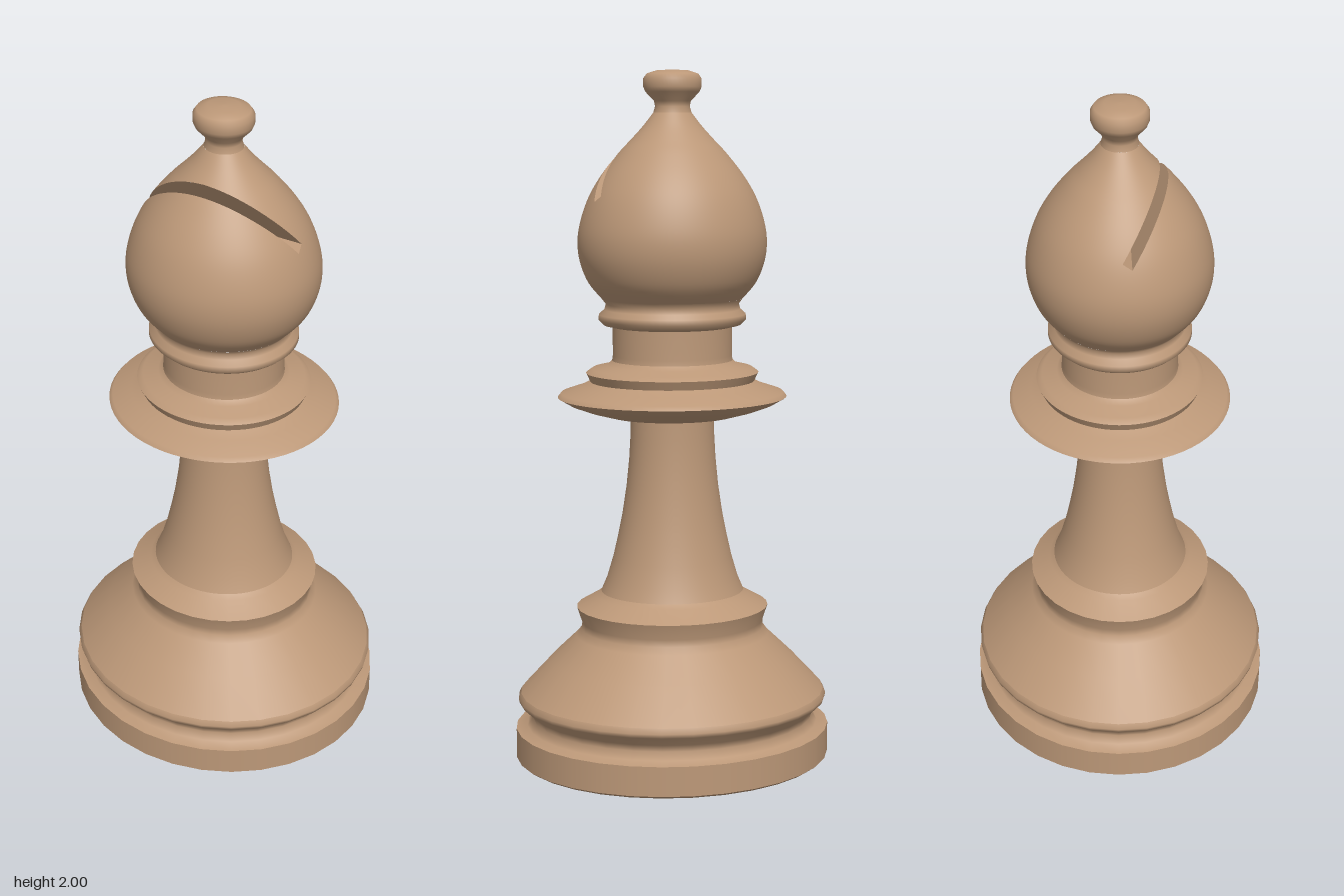
import * as THREE from 'three';

const DEPTH = 0.945; // the turned shape is slightly flattened front to back
const wood = new THREE.MeshStandardMaterial({ color: 0xbc9878 });
wood.name = 'wood';

// A repeated point in a profile makes a hard edge.
const toPoints = (list) => list.map(([r, y]) => new THREE.Vector2(r, y));

function addPart(group, name, geometry) {
  geometry.scale(1, 1, DEPTH);
  const mesh = new THREE.Mesh(geometry, wood);
  mesh.name = name;
  group.add(mesh);
  return mesh;
}

// Head profile radius at a given height
function radiusAt(profile, y) {
  for (let i = 1; i < profile.length; i++) {
    const a = profile[i - 1], b = profile[i];
    if (y >= a.y && y <= b.y) return a.x + (b.x - a.x) * (y - a.y) / (b.y - a.y || 1);
  }
  return 0;
}

// Cuts a slot, whose outline is an open path in (z, y), across a turned solid
function cutSlot(solid, profile, path) {
  const src = solid.toNonIndexed();
  const P = src.attributes.position, N = src.attributes.normal;
  const pos = [], nor = [];
  const emit = (poly) => {
    for (let i = 1; i + 1 < poly.length; i++) {
      for (const v of [poly[0], poly[i], poly[i + 1]]) {
        pos.push(...v.slice(0, 3));
        nor.push(...v.slice(3));
      }
    }
  };
  const edges = path.slice(1).map((q, i) => [path[i], q]);
  const side = ([p, q], v) => (q[0] - p[0]) * (v[1] - p[1]) - (q[1] - p[1]) * (v[2] - p[0]);

  // Outer skin: keep every piece that lies outside the slot
  for (let t = 0; t < P.count; t += 3) {
    let poly = [t, t + 1, t + 2].map((i) =>
      [P.getX(i), P.getY(i), P.getZ(i), N.getX(i), N.getY(i), N.getZ(i)]);
    for (const edge of edges) {
      const inside = [], outside = [];
      poly.forEach((v, i) => {
        const w = poly[(i + 1) % poly.length];
        const dv = side(edge, v), dw = side(edge, w);
        (dv > 0 ? inside : outside).push(v);
        if ((dv > 0) !== (dw > 0)) {
          const cut = v.map((c, k) => c + (w[k] - c) * dv / (dv - dw));
          inside.push(cut);
          outside.push(cut);
        }
      });
      emit(outside);
      poly = inside;
    }
  }

  // Slot walls: flat strips as wide as the solid at each point
  const steps = 80;
  for (const [p, q] of edges) {
    const dz = q[0] - p[0], dy = q[1] - p[1], len = Math.hypot(dz, dy);
    const at = (s) => {
      const z = p[0] + dz * s, y = p[1] + dy * s;
      return [Math.sqrt(Math.max(0, radiusAt(profile, y) ** 2 - z * z)), y, z];
    };
    for (let i = 0; i < steps; i++) {
      const a = at(i / steps), b = at((i + 1) / steps);
      if (a[0] + b[0] === 0) continue;
      const n = [0, dz / len, -dy / len];
      emit([[...a, ...n], [-a[0], a[1], a[2], ...n], [-b[0], b[1], b[2], ...n], [...b, ...n]]);
    }
  }

  const out = new THREE.BufferGeometry();
  out.setAttribute('position', new THREE.Float32BufferAttribute(pos, 3));
  out.setAttribute('normal', new THREE.Float32BufferAttribute(nor, 3));
  return out;
}

export function createModel() {
  const group = new THREE.Group();
  group.name = 'chessBishop';

  const turned = {
    // Foot with a groove, sloping shoulder and ring
    base: [32, [[0, 0], [0.3, 0], [0.31, 0.006], [0.31, 0.006], [0.455, 0.008], [0.465, 0.015],
      [0.465, 0.015], [0.465, 0.1], [0.465, 0.1], [0.432, 0.108], [0.418, 0.13], [0.425, 0.15],
      [0.455, 0.178], [0.458, 0.19], [0.45, 0.205], [0.45, 0.205], [0.36, 0.3], [0.285, 0.37],
      [0.27, 0.39], [0.268, 0.41], [0.283, 0.455], [0.283, 0.455], [0.225, 0.487], [0.21, 0.5]]],
    // Tapering stem
    stem: [64, [[0.21, 0.5], [0.193, 0.54], [0.175, 0.6], [0.16, 0.665], [0.147, 0.73],
      [0.135, 0.81], [0.127, 0.89], [0.123, 0.96], [0.122, 1.015]]],
    // Wide collar with a smaller step on top
    collar: [64, [[0.122, 1.01], [0.19, 1.016], [0.25, 1.032], [0.3, 1.05], [0.335, 1.07],
      [0.335, 1.07], [0.325, 1.082], [0.27, 1.1], [0.24, 1.115], [0.24, 1.115], [0.252, 1.14],
      [0.252, 1.14], [0.235, 1.152], [0.19, 1.162], [0.176, 1.175]]],
    // Narrow neck and its bead
    neck: [64, [[0.176, 1.175], [0.174, 1.19], [0.174, 1.272], [0.174, 1.272], [0.2, 1.278],
      [0.215, 1.292], [0.214, 1.308], [0.198, 1.322], [0.194, 1.338], [0.205, 1.352]]],
    // Small knob at the tip
    finial: [48, [[0.055, 1.88], [0.05, 1.897], [0.053, 1.912], [0.078, 1.938], [0.084, 1.952],
      [0.084, 1.975], [0.074, 1.989], [0.045, 1.998], [0, 2]]],
  };
  for (const [name, [sides, profile]] of Object.entries(turned)) {
    addPart(group, name, new THREE.LatheGeometry(toPoints(profile), sides));
  }

  // Teardrop head with a slanted slot
  const headProfile = new THREE.SplineCurve(toPoints([[0.205, 1.352], [0.245, 1.4], [0.269, 1.46],
    [0.275, 1.52], [0.265, 1.58], [0.241, 1.645], [0.205, 1.705], [0.157, 1.765], [0.118, 1.806],
    [0.085, 1.842], [0.055, 1.88]])).getPoints(50);
  const slot = [[0.13, 1.836], [0, 1.648], [0.027, 1.632], [0.148, 1.802]];
  const head = addPart(group, 'head',
    cutSlot(new THREE.LatheGeometry(headProfile, 96), headProfile, slot));
  head.rotation.y = 0.04;

  return group;
}
